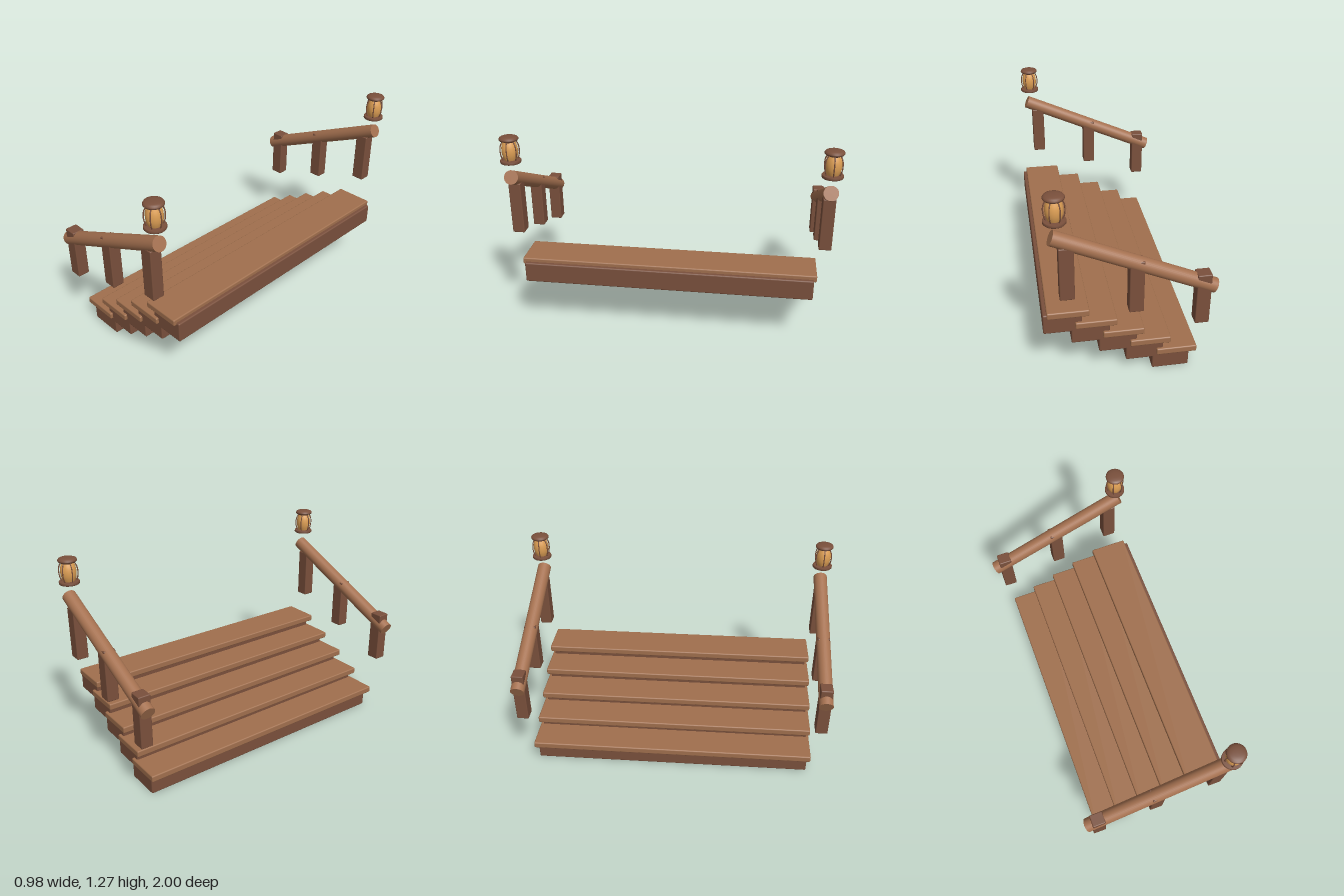
import * as THREE from 'three';
import { RoundedBoxGeometry } from 'three/addons/geometries/RoundedBoxGeometry.js';

const material = (name, color) => {
  const m = new THREE.MeshStandardMaterial({ color });
  m.name = name;
  return m;
};

export function createModel() {
  const lightWood = material('light wood', 0xa06f4d);
  const darkWood = material('dark wood', 0x7a503c);
  const railWood = material('rail wood', 0xa57150);
  const glow = material('lantern glow', 0xdfa055);

  const model = new THREE.Group();
  model.name = 'staircase';

  const add = (parent, name, geometry, mat, x = 0, y = 0, z = 0) => {
    const mesh = new THREE.Mesh(geometry, mat);
    mesh.name = name;
    mesh.position.set(x, y, z);
    parent.add(mesh);
    return mesh;
  };
  const lathe = (points, segments = 32) =>
    new THREE.LatheGeometry(points.map(([r, y]) => new THREE.Vector2(r, y)), segments);

  // Five steps, each a thin tread over a solid riser block
  const treadGeo = new RoundedBoxGeometry(0.24, 0.042, 1.804, 2, 0.008);
  const riserGeo = new RoundedBoxGeometry(0.221, 0.128, 1.77, 2, 0.008);
  for (let i = 0; i < 5; i++) {
    const dx = i * 0.1585, dy = i * 0.0853;
    add(model, 'tread', treadGeo, lightWood, -0.29 + dx, 0.136 + dy);
    add(model, 'riser', riserGeo, darkWood, -0.258 + dx, 0.069 + dy);
  }

  // Shared railing shapes
  const low = new THREE.Vector3(-0.471, 0.618, 0);
  const high = new THREE.Vector3(0.428, 1.019, 0);
  const slope = high.clone().sub(low);
  const railGeo = new THREE.CylinderGeometry(0.0435, 0.0435, slope.length(), 32);
  const postGeo = new RoundedBoxGeometry(0.082, 0.326, 0.075, 2, 0.006);

  // Shared lantern shapes, measured up from the base
  const baseGeo = lathe([[0, 0], [0.059, 0], [0.062, 0.004], [0.062, 0.015], [0.059, 0.019], [0, 0.019]]);
  const capGeo = lathe([[0, 0.130], [0.036, 0.130], [0.038, 0.136], [0.052, 0.138], [0.057, 0.144],
    [0.057, 0.150], [0.052, 0.157], [0.040, 0.162], [0.020, 0.165], [0, 0.165]]);
  const glassGeo = lathe([[0.034, 0.016], [0.042, 0.035], [0.047, 0.055], [0.048, 0.075],
    [0.047, 0.095], [0.042, 0.115], [0.034, 0.134]]);
  const barCurve = new THREE.CatmullRomCurve3([[0.042, 0.016], [0.052, 0.042], [0.056, 0.075],
    [0.052, 0.108], [0.038, 0.136]].map(([r, y]) => new THREE.Vector3(r, y, 0)));
  const barGeo = new THREE.TubeGeometry(barCurve, 16, 0.0035, 8);

  for (const side of [1, -1]) {
    const railing = new THREE.Group();
    railing.name = side > 0 ? 'frontRailing' : 'backRailing';
    railing.position.z = side * 0.937;
    model.add(railing);

    // Sloping round handrail
    const rail = add(railing, 'handrail', railGeo, railWood);
    rail.position.copy(low).lerp(high, 0.5);
    rail.rotation.z = Math.atan2(slope.y, slope.x) - Math.PI / 2;

    // Three posts rising with the slope
    for (let i = 0; i < 3; i++) {
      add(railing, 'post', postGeo, darkWood, -0.402 + i * 0.377, 0.551 + i * 0.125);
    }

    // Lantern hovering above the upper end
    const lantern = new THREE.Group();
    lantern.name = 'lantern';
    lantern.position.set(0.402, 1.106, 0);
    railing.add(lantern);
    add(lantern, 'lanternBase', baseGeo, darkWood);
    add(lantern, 'lanternCap', capGeo, darkWood);
    add(lantern, 'lanternGlass', glassGeo, glow);
    for (let i = 0; i < 6; i++) {
      add(lantern, 'lanternBar', barGeo, darkWood).rotation.y = (i * Math.PI) / 3;
    }
  }

  return model;
}
